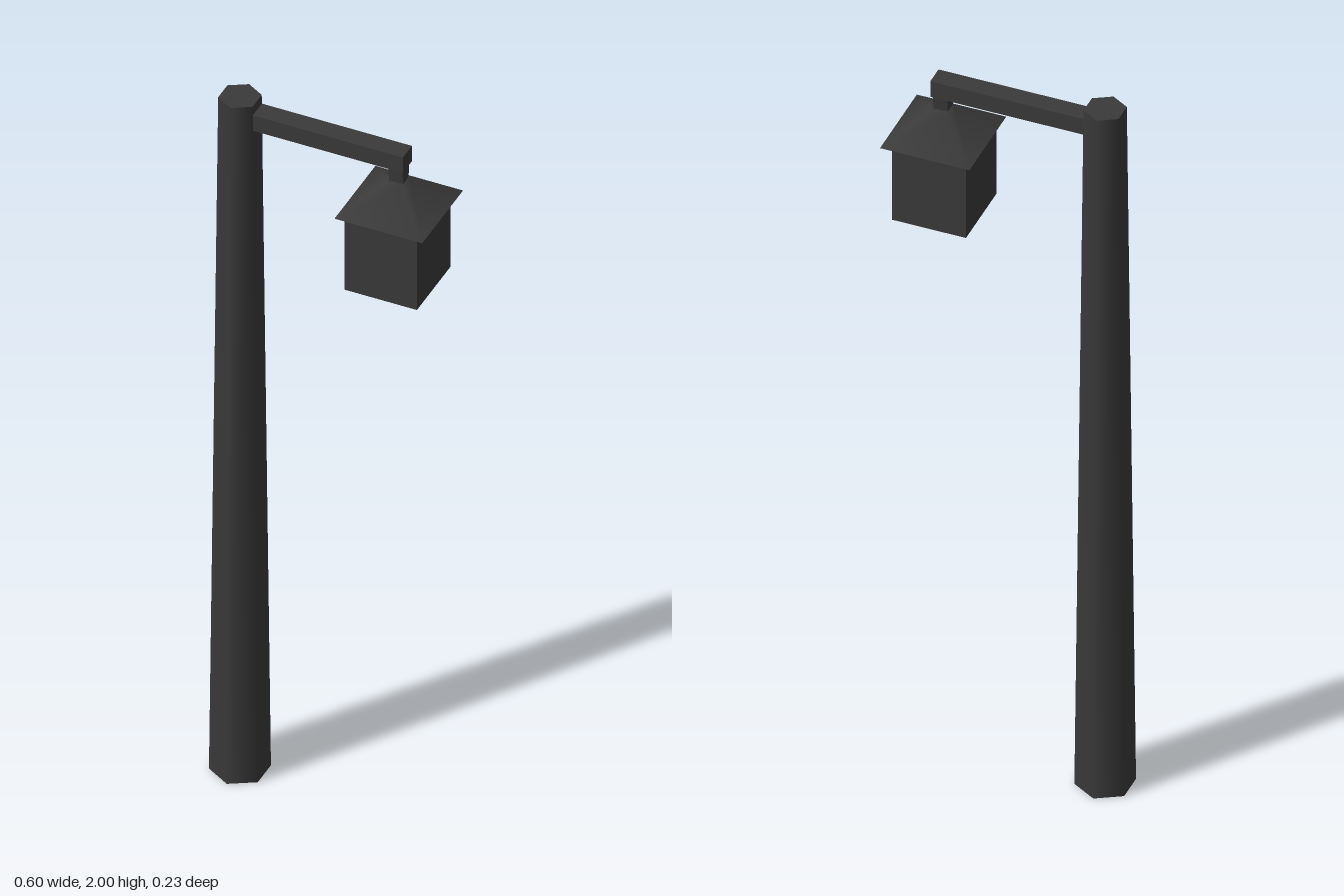
import * as THREE from 'three';

export function createModel() {
  const group = new THREE.Group();
  group.name = 'streetLamp';
  const iron = new THREE.MeshStandardMaterial({ color: 0x3a3a3a });
  iron.name = 'dark iron';

  const add = (name, geometry, x, y, z = 0) => {
    const mesh = new THREE.Mesh(geometry, iron);
    mesh.name = name;
    mesh.position.set(x, y, z);
    group.add(mesh);
    return mesh;
  };

  // Four-sided frustum given by half widths, sides parallel to the axes
  const frustum = (top, bottom, height) =>
    new THREE.CylinderGeometry(top * Math.SQRT2, bottom * Math.SQRT2, height, 4).rotateY(Math.PI / 4);

  // Tapered six-sided post, softly shaded around its sides
  add('post', new THREE.CylinderGeometry(0.052, 0.074, 2, 6), -0.235, 1);

  // Arm, with its root buried in the post
  add('arm', new THREE.BoxGeometry(0.414, 0.046, 0.051), -0.003, 1.951, -0.001);

  // Short hanger that narrows front to back towards the lantern
  const hanger = new THREE.BoxGeometry(0.037, 0.06, 0.04);
  const p = hanger.attributes.position;
  for (let i = 0; i < p.count; i++) if (p.getY(i) < 0) p.setZ(i, p.getZ(i) * 0.7);
  hanger.computeVertexNormals();
  add('hanger', hanger, 0.182, 1.905);

  // Lantern with an overhanging pyramid roof
  add('lanternRoof', frustum(0.02, 0.115, 0.077), 0.182, 1.8485);
  add('lanternBody', new THREE.BoxGeometry(0.19, 0.225, 0.19), 0.179, 1.7025);

  return group;
}
